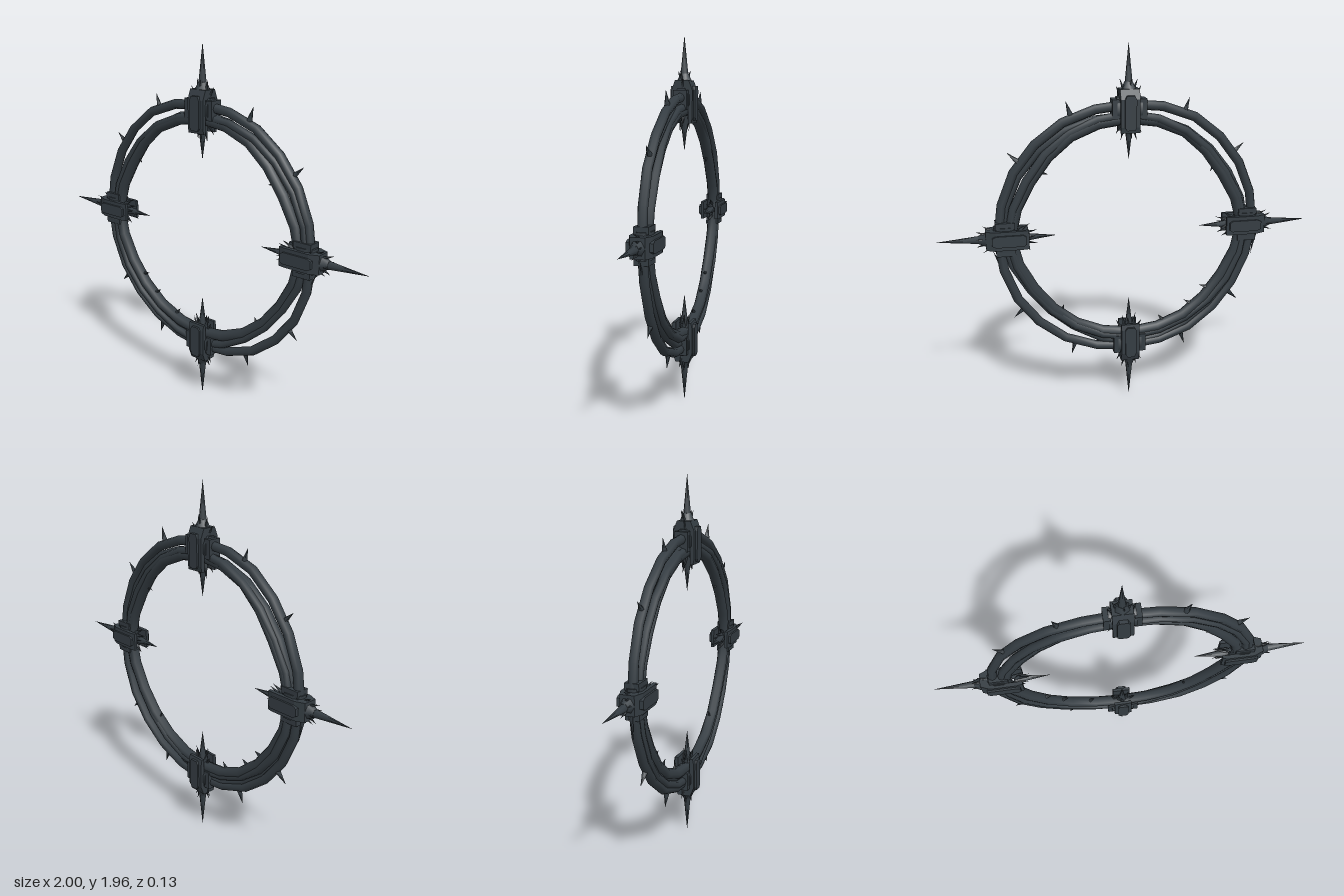
import * as THREE from 'three';

const CENTRE_Y = 0.98;
const DEG = Math.PI / 180;
const iron = new THREE.MeshStandardMaterial({ name: 'darkIron', color: 0x343c42 });
iron.flatShading = false;

function add(parent, name, geometry) {
  const mesh = new THREE.Mesh(geometry, iron);
  mesh.name = name;
  parent.add(mesh);
  return mesh;
}

// Cone whose base sits at `from` and whose tip reaches `to`
function spike(parent, name, from, to, radius, sides = 5) {
  const a = new THREE.Vector3(...from);
  const dir = new THREE.Vector3(...to).sub(a);
  const length = dir.length();
  const geometry = new THREE.ConeGeometry(radius, length, sides).translate(0, length / 2, 0);
  const mesh = add(parent, name, geometry);
  mesh.position.copy(a);
  mesh.quaternion.setFromUnitVectors(new THREE.Vector3(0, 1, 0), dir.normalize());
  return mesh;
}

// Closed vine: one ring radius for every 30 degrees, weaving gently in z
function strand(parent, name, radii, z, weave, thickness) {
  const points = radii.map((r, i) => {
    const t = i * 30 * DEG;
    return new THREE.Vector3(r * Math.cos(t), r * Math.sin(t), z + weave * Math.sin(t * 4));
  });
  const curve = new THREE.CatmullRomCurve3(points, true);
  add(parent, name, new THREE.TubeGeometry(curve, 24, thickness, 8, true));
}

// Clamp built with its outward direction along +y
function makeClamp(name, tipRadius) {
  const clamp = new THREE.Group();
  clamp.name = name;

  // Stepped collar around the strands
  add(clamp, 'collar', new THREE.CylinderGeometry(0.056, 0.056, 0.13, 8)
    .rotateY(Math.PI / 8).rotateZ(Math.PI / 2).scale(1, 1.15, 0.8).translate(0, 0.65, 0));
  for (const s of [-1, 1]) {
    add(clamp, 'collarRim', new THREE.BoxGeometry(0.035, 0.1, 0.072).translate(s * 0.072, 0.65, 0));
  }

  // U-shaped strap with chamfered shoulders, drawn in (z, radius)
  const half = [[0.034, 0.53], [0.05, 0.53], [0.056, 0.56], [0.056, 0.7], [0.036, 0.75]];
  const outline = [[0.034, 0.7], ...half, ...half.slice().reverse().map(([z, r]) => [-z, r]), [-0.034, 0.7]];
  const shape = new THREE.Shape(outline.map(([z, r]) => new THREE.Vector2(z, r)));
  add(clamp, 'strap', new THREE.ExtrudeGeometry(shape, { depth: 0.1, bevelEnabled: false })
    .translate(0, 0, -0.05).rotateY(Math.PI / 2));

  // Raised plates, front and back
  for (const s of [-1, 1]) {
    const plate = new THREE.Shape([[-0.03, 0.56], [-0.02, 0.545], [0.02, 0.545], [0.03, 0.56],
      [0.03, 0.7], [0.02, 0.72], [-0.02, 0.72], [-0.03, 0.7]].map(p => new THREE.Vector2(...p)));
    add(clamp, 'facePlate', new THREE.ExtrudeGeometry(plate, { depth: 0.02, bevelEnabled: false })
      .translate(0, 0, s * 0.056 - 0.01));
  }

  // Knob and long spikes pointing outward and inward
  add(clamp, 'knob', new THREE.CylinderGeometry(0.022, 0.04, 0.04, 6).translate(0, 0.765, 0));
  spike(clamp, 'outerSpike', [0, 0.75, 0], [0, tipRadius, 0], 0.024, 6);
  spike(clamp, 'innerSpike', [0, 0.57, 0], [0, 0.385, 0], 0.024, 6);

  // Small thorns crowded round both ends
  for (const s of [-1, 1]) {
    spike(clamp, 'outerThorn', [s * 0.02, 0.73, 0], [s * 0.045, 0.8, 0.01 * s], 0.012);
    spike(clamp, 'outerThorn', [s * 0.035, 0.7, 0], [s * 0.068, 0.765, -0.01 * s], 0.012);
    spike(clamp, 'outerThorn', [0, 0.74, s * 0.015], [0.01 * s, 0.8, s * 0.03], 0.012);
    spike(clamp, 'innerThorn', [s * 0.02, 0.57, 0], [s * 0.04, 0.485, 0.01 * s], 0.013);
    spike(clamp, 'innerThorn', [s * 0.035, 0.58, 0], [s * 0.07, 0.52, -0.01 * s], 0.012);
    spike(clamp, 'innerThorn', [0, 0.57, s * 0.015], [0.012 * s, 0.495, s * 0.025], 0.012);
  }
  return clamp;
}

export function createModel() {
  const model = new THREE.Group();
  model.name = 'thornRing';
  const ring = new THREE.Group();
  ring.name = 'ring';
  ring.position.y = CENTRE_Y;
  model.add(ring);

  // Interwoven strands
  strand(ring, 'outerStrand',
    [0.685, 0.685, 0.68, 0.67, 0.69, 0.69, 0.69, 0.68, 0.68, 0.675, 0.69, 0.69], 0, 0.004, 0.025);
  strand(ring, 'innerStrand',
    [0.625, 0.59, 0.6, 0.6, 0.6, 0.585, 0.63, 0.6, 0.6, 0.595, 0.59, 0.59], 0, 0.003, 0.031);
  strand(ring, 'crossingStrand',
    [0.665, 0.655, 0.635, 0.61, 0.61, 0.615, 0.65, 0.65, 0.65, 0.66, 0.615, 0.61], 0.008, 0.004, 0.022);
  strand(ring, 'backStrand',
    [0.635, 0.61, 0.615, 0.62, 0.605, 0.6, 0.64, 0.63, 0.62, 0.615, 0.6, 0.6], -0.01, -0.003, 0.023);

  // Thorns, each given by angle, start radius, end radius and lean in degrees
  const thorn = (name, angle, r0, r1, lean, radius) => {
    const a = angle * DEG, b = (angle + lean) * DEG;
    spike(ring, name, [r0 * Math.cos(a), r0 * Math.sin(a), 0], [r1 * Math.cos(b), r1 * Math.sin(b), 0], radius);
  };
  for (const angle of [35, 64.5, 115.5, 145, 215, 244.5, 295.5, 325]) {
    thorn('outwardThorn', angle, 0.69, 0.768, angle % 180 < 90 ? 0.8 : -0.8, 0.016);
  }
  for (const angle of [36, 144, 219, 232, 250, 310]) {
    thorn('inwardThorn', angle, 0.58, 0.53, 2, 0.014);
  }
  // Long slivers lying along the sides
  thorn('sliverThorn', 184, 0.715, 0.715, 11, 0.012);
  thorn('sliverThorn', 344, 0.69, 0.72, 11, 0.012);

  // Clamps at the four quarters
  [['topClamp', 0, 0.98], ['rightClamp', 90, 1], ['bottomClamp', 180, 0.98], ['leftClamp', 270, 1]]
    .forEach(([name, angle, tip]) => {
      const clamp = makeClamp(name, tip);
      clamp.rotation.z = angle * DEG;
      ring.add(clamp);
    });

  return model;
}
